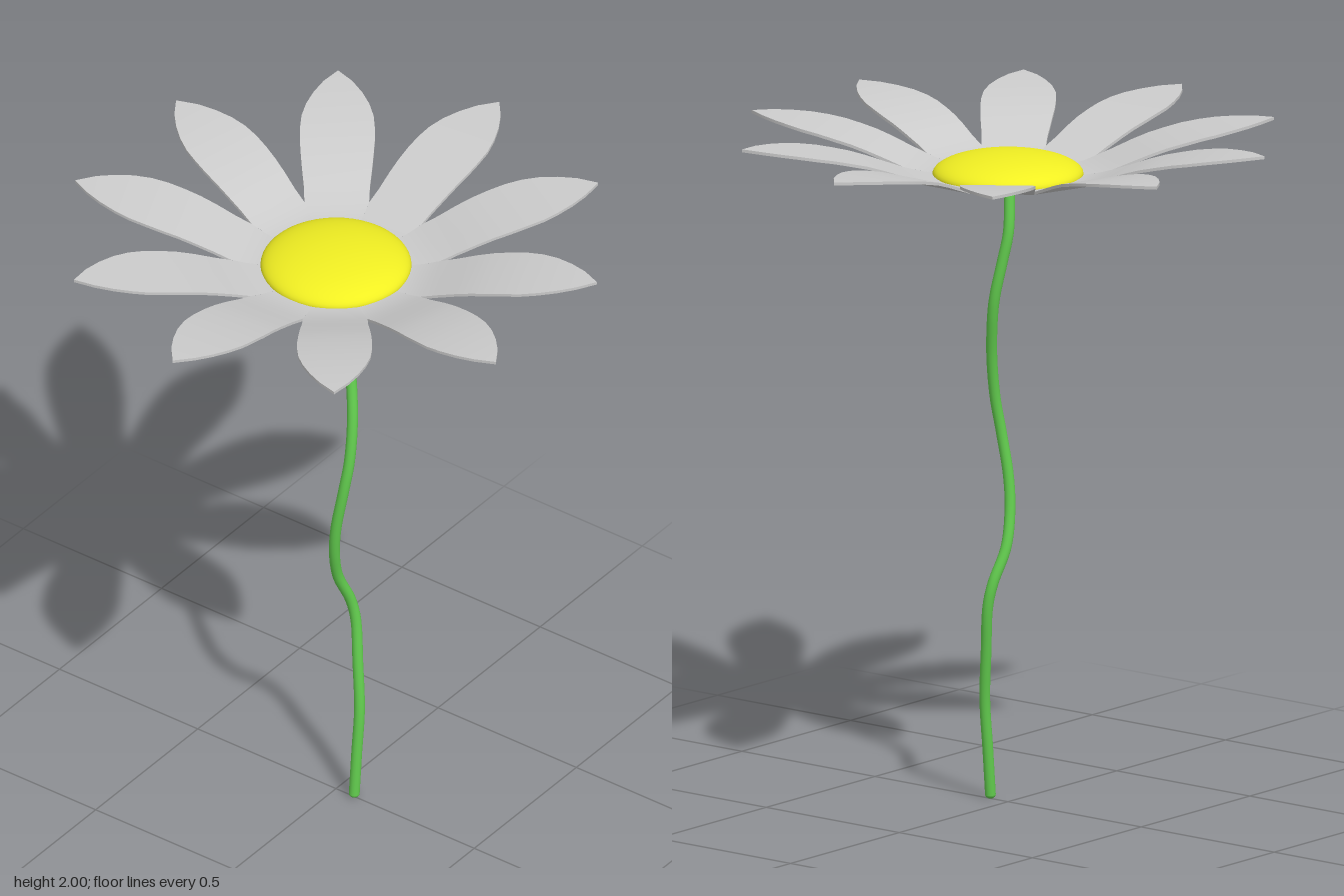
import * as THREE from 'three';

const PETALS = 10;
const THICK = 0.009;

// Petal stations: distance from the centre, half width, underside height
const STATIONS = [
  [0, 0, 1.87], [0.12, 0.039, 1.87], [0.21, 0.0682, 1.87], [0.25, 0.0812, 1.876],
  [0.29, 0.0942, 1.886], [0.34, 0.096, 1.904], [0.4, 0.102, 1.926], [0.45, 0.106, 1.942],
  [0.5, 0.109, 1.954], [0.55, 0.109, 1.965], [0.6, 0.105, 1.973], [0.65, 0.092, 1.98],
  [0.7, 0.071, 1.985], [0.75, 0.042, 1.989], [0.8, 0, 1.991],
];
const FREE_ROW = 4; // petals separate from each other here

// Thin curved petal pointing along +z, with its wedge of the flat base
function petalGeometry() {
  const pos = [], idx = [];
  const strip = (left, right) => {
    const start = pos.length / 3;
    left.forEach((p, i) => pos.push(...p, ...right[i]));
    for (let i = 0; i < left.length - 1; i++) {
      const a = start + 2 * i;
      idx.push(a, a + 2, a + 1, a + 1, a + 2, a + 3);
    }
  };
  const edge = (side, lift) => STATIONS.map(([r, w, y]) => [side * w, y + lift, r]);
  const topL = edge(-1, THICK), topR = edge(1, THICK);
  const lowL = edge(-1, 0), lowR = edge(1, 0);
  strip(topL, topR);
  strip(lowR, lowL);
  // Rims only along the free part of the petal
  strip(topR.slice(FREE_ROW), lowR.slice(FREE_ROW));
  strip(lowL.slice(FREE_ROW), topL.slice(FREE_ROW));
  const g = new THREE.BufferGeometry();
  g.setAttribute('position', new THREE.Float32BufferAttribute(pos, 3));
  g.setIndex(idx);
  g.computeVertexNormals();
  return g;
}

export function createModel() {
  const flower = new THREE.Group();
  flower.name = 'flower';
  const add = (name, geometry, material, parent = flower) => {
    const mesh = new THREE.Mesh(geometry, material);
    mesh.name = name;
    parent.add(mesh);
    return mesh;
  };
  const grey = new THREE.MeshStandardMaterial({ color: 0xcccccc });
  const yellow = new THREE.MeshStandardMaterial({ color: 0xf0ee22 });
  const green = new THREE.MeshStandardMaterial({ color: 0x62cc4e });

  // Ring of petals
  const petals = new THREE.Group();
  petals.name = 'petals';
  flower.add(petals);
  const petalShape = petalGeometry();
  for (let i = 0; i < PETALS; i++) {
    add('petal', petalShape, grey, petals).rotation.y = (i * 2 * Math.PI) / PETALS;
  }

  // Domed flower centre
  const dome = add('flowerCentre',
    new THREE.SphereGeometry(0.22, 48, 16, 0, Math.PI * 2, 0, Math.PI / 2), yellow);
  dome.scale.y = 0.28;
  dome.position.y = 1.879;

  // Wavy stem
  const path = new THREE.CatmullRomCurve3([
    [0.066, 0.012, 0], [0.066, 0.15, -0.012], [0.065, 0.3, -0.027], [0.048, 0.45, -0.042],
    [0.03, 0.59, -0.056], [0.018, 0.66, -0.047], [0.003, 0.76, -0.006], [0.01, 0.86, 0.021],
    [0.022, 0.96, 0.03], [0.044, 1.1, 0.022], [0.053, 1.2, 0.006], [0.047, 1.33, -0.017],
    [0.025, 1.46, -0.04], [0.014, 1.52, -0.043], [-0.005, 1.62, -0.033], [-0.018, 1.71, -0.02],
    [-0.012, 1.8, -0.008], [-0.004, 1.875, 0],
  ].map((p) => new THREE.Vector3(...p)));
  add('stem', new THREE.TubeGeometry(path, 90, 0.016, 14), green);

  // Rounded lower end of the stem
  const tip = add('stemTip', new THREE.SphereGeometry(0.016, 14, 10), green);
  tip.position.set(0.066, 0.013, 0);
  tip.scale.y = 0.8;

  return flower;
}
